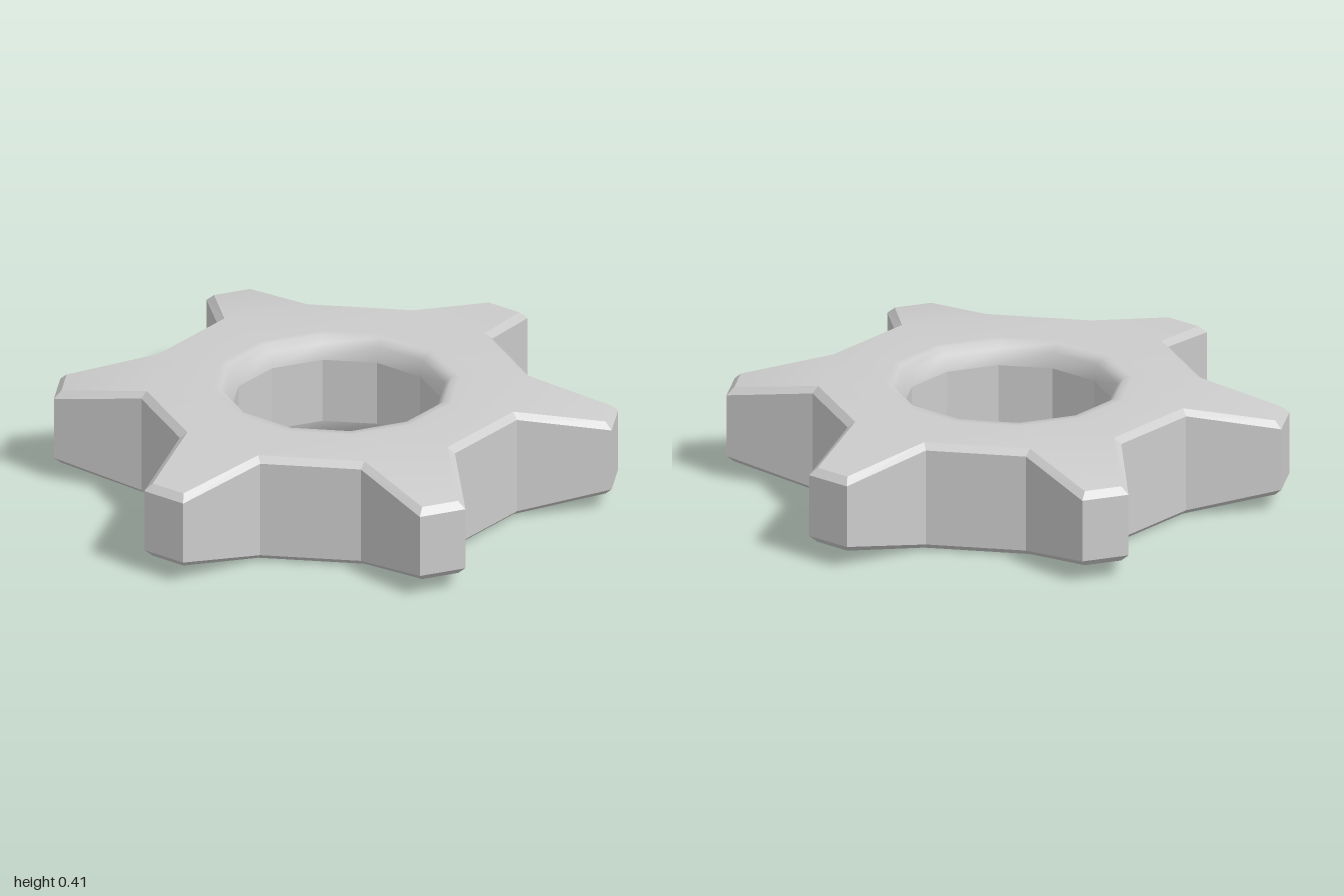
import * as THREE from 'three';
import { toCreasedNormals } from 'three/addons/utils/BufferGeometryUtils.js';

const TEETH = 6, HEIGHT = 0.405, ROOT = 0.705, TIP = 1.015, BEVEL = 0.025;
const isTip = (i) => i % 4 === 1 || i % 4 === 2;
const at = (r, deg, y) => {
  const a = THREE.MathUtils.degToRad(deg);
  return new THREE.Vector3(r * Math.cos(a), y, -r * Math.sin(a));
};

// Gear outline: root, tip, tip, root for each tooth, counter-clockwise from above
function outline() {
  const pts = [];
  for (let t = 0; t < TEETH; t++) {
    [0, 10, 20, 30].forEach((d, k) => pts.push(at(isTip(k) ? TIP : ROOT, t * 60 + d, 0)));
  }
  return pts;
}

// Moves every edge of a loop inwards by the same distance
function inset(pts, d) {
  const n = pts.length;
  const inward = (a, b) => new THREE.Vector3(b.z - a.z, 0, a.x - b.x).normalize();
  return pts.map((p, i) => {
    const n1 = inward(pts[(i + n - 1) % n], p), n2 = inward(p, pts[(i + 1) % n]);
    return p.clone().addScaledVector(n1.clone().add(n2), d / (1 + n1.dot(n2)));
  });
}

const quad = (out, a, b, c, d) => [a, b, c, a, c, d].forEach((p) => out.push(p.x, p.y, p.z));

function skin(out, loops) {
  for (let l = 0; l + 1 < loops.length; l++) {
    const a = loops[l], b = loops[l + 1], n = a.length;
    for (let i = 0; i < n; i++) quad(out, a[i], a[(i + 1) % n], b[(i + 1) % n], b[i]);
  }
}

function toMesh(name, positions, crease) {
  let geo = new THREE.BufferGeometry();
  geo.setAttribute('position', new THREE.Float32BufferAttribute(positions, 3));
  if (crease) geo = toCreasedNormals(geo, crease);
  else geo.computeVertexNormals();
  const mesh = new THREE.Mesh(geo, new THREE.MeshStandardMaterial({ color: 0xcccccc }));
  mesh.name = name;
  return mesh;
}

export function createModel() {
  const group = new THREE.Group();
  group.name = 'gear';

  const edge = outline(), inner = inset(edge, BEVEL);
  // The teeth get thinner towards their tips
  const level = (pts, rootDrop, tipDrop, top) => pts.map((p, i) => {
    const drop = isTip(i) ? tipDrop : rootDrop;
    return p.clone().setY(top ? HEIGHT - drop : drop);
  });
  const faceTop = level(inner, 0, 0.06, true);
  const faceBottom = level(inner, 0, 0.06, false);

  // Outer wall with bevelled upper and lower edges
  const wall = [];
  skin(wall, [faceBottom, level(edge, 0.022, 0.086, false), level(edge, 0.022, 0.086, true), faceTop]);
  group.add(toMesh('toothedWall', wall));

  // Upper and lower faces, rounded off into the hole
  const ring = (r, y) => Array.from({ length: TEETH * 2 }, (_, i) => at(r, i * 30, y));
  const lip = [[0.45, 0], [0.42, 0], [0.395, 0.025], [0.38, 0.082]];
  for (const top of [true, false]) {
    const face = top ? faceTop : faceBottom;
    const loops = [face.filter((_, i) => !isTip(i)),
      ...lip.map(([r, drop]) => ring(r, top ? HEIGHT - drop : drop))];
    const out = [];
    skin(out, top ? loops : loops.reverse());
    for (let t = 0; t < TEETH; t++) {
      const tooth = face.slice(t * 4, t * 4 + 4);
      quad(out, ...(top ? tooth : tooth.reverse()));
    }
    group.add(toMesh(top ? 'upperFace' : 'lowerFace', out, 1.1));
  }

  // Twelve-sided centre hole
  const hole = [];
  skin(hole, [ring(0.38, HEIGHT - 0.082), ring(0.38, 0.082)]);
  group.add(toMesh('centreHole', hole));

  return group;
}
